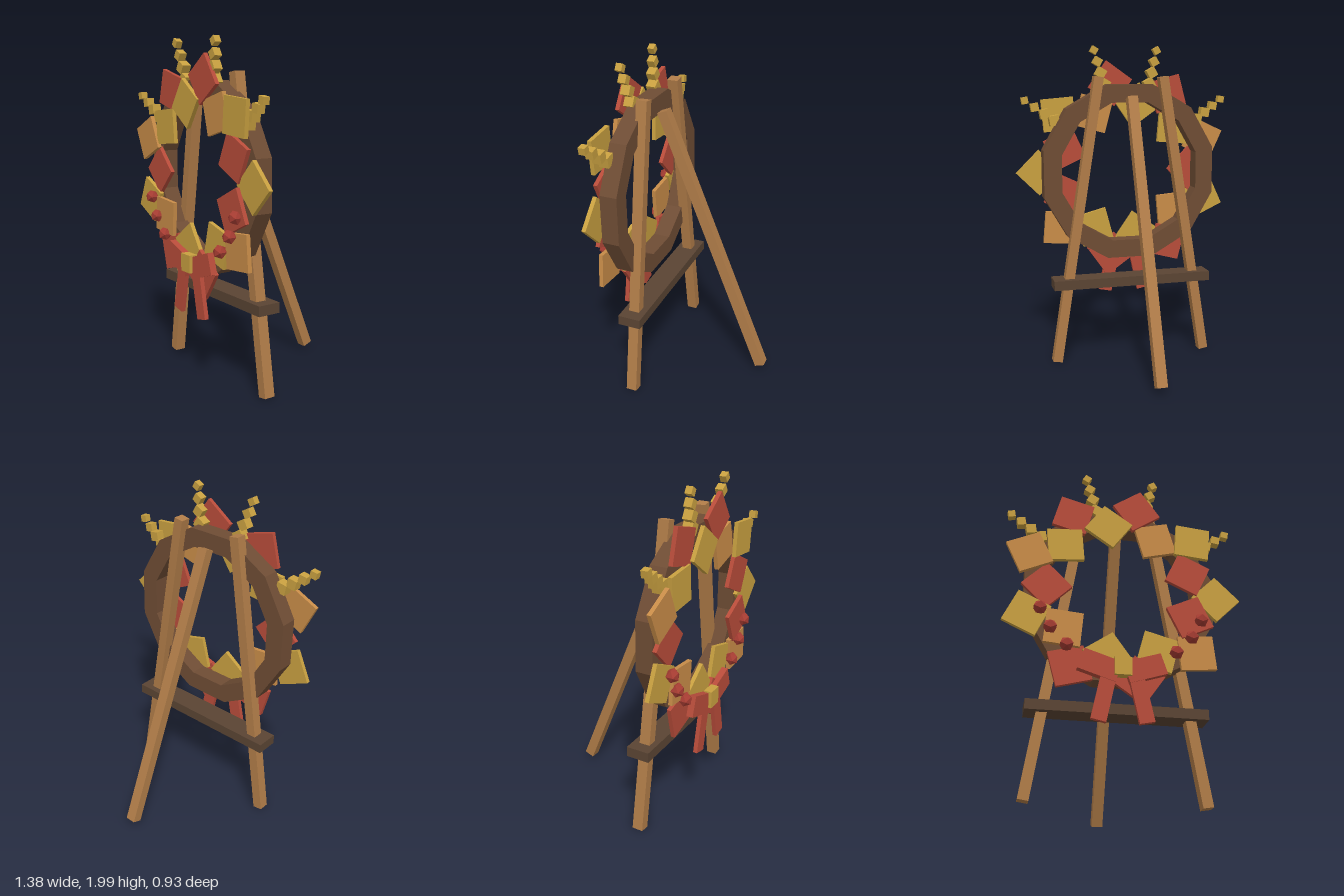
import * as THREE from 'three';

const flat = (name, color) => {
  const m = new THREE.MeshStandardMaterial({ color });
  m.name = name;
  return m;
};
const CX = -0.02, CY = 1.21; // wreath centre
const rad = THREE.MathUtils.degToRad;

export function createModel() {
  const model = new THREE.Group();
  model.name = 'wreathOnEasel';
  const wood = flat('easelWood', 0xb07c48);
  const bark = flat('ringBrown', 0x6e4c34);
  const dark = flat('darkWood', 0x5a4433);
  const gold = flat('gold', 0xc8a040);
  const orange = flat('orange', 0xc88c48);
  const red = flat('red', 0xb84c3a);
  const berryRed = flat('berryRed', 0xa63c32);
  berryRed.flatShading = true;

  const add = (name, geo, mat, x, y, z, rotZ = 0, rotX = 0) => {
    const m = new THREE.Mesh(geo, mat);
    m.name = name;
    m.position.set(x, y, z);
    m.rotation.set(rad(rotX), 0, rad(rotZ));
    model.add(m);
    return m;
  };
  const box = (name, mat, w, h, d, ...place) => add(name, new THREE.BoxGeometry(w, h, d), mat, ...place);
  const polar = (deg, r) => [CX + r * Math.cos(rad(deg)), CY + r * Math.sin(rad(deg))];

  // Easel
  for (const s of [-1, 1]) box('frontLeg', wood, 0.06, 1.82, 0.065, CX + s * 0.349, 0.908, 0.244, s * 9);
  box('backLeg', wood, 0.064, 1.76, 0.062, CX, 0.862, -0.107, 0, 21.8);
  box('crossbar', dark, 1.02, 0.06, 0.14, CX, 0.52, 0.242);

  // Twelve-sided wreath ring
  const corners = (r) => Array.from({ length: 12 }, (_, i) =>
    new THREE.Vector2(r * Math.cos(rad(15 + i * 30)), r * Math.sin(rad(15 + i * 30))));
  const ringShape = new THREE.Shape(corners(0.569));
  ringShape.holes.push(new THREE.Path(corners(0.452).reverse()));
  const ringGeo = new THREE.ExtrudeGeometry(ringShape, { depth: 0.104, bevelEnabled: false });
  add('wreathRing', ringGeo, bark, CX, CY, 0.258);

  // Square leaves on two alternating radii
  const leafColors = 'grgorgrgorgorgrgor';
  const palette = { g: gold, r: red, o: orange };
  [...leafColors].forEach((c, i) => {
    const [x, y] = polar(i * 20, i % 2 ? 0.423 : 0.563);
    box('leaf', palette[c], 0.205, 0.205, 0.025, x, y, 0.382 + 0.012 * (i % 3), 45 + i * 20);
  });

  // Berries
  const berryGeo = new THREE.IcosahedronGeometry(0.042, 0);
  for (const a of [200, 215, 231, 309, 325, 340]) add('berry', berryGeo, berryRed, ...polar(a, 0.487), 0.43);

  // Grain ears made of shrinking cubes
  for (const a of [35, 75, 105, 145]) {
    [[0.57, 0.063], [0.642, 0.058], [0.714, 0.05], [0.786, 0.042]].forEach(([r, s], k) =>
      box('grain', gold, s, s, s * 0.95, ...polar(a, r), 0.354 + k * 0.009, a + 45));
  }

  // Bow
  for (const s of [-1, 1]) {
    box('bowLoop', red, 0.22, 0.125, 0.04, CX + s * 0.125, 0.715, 0.43, s * 18);
    box('bowTail', red, 0.085, 0.27, 0.026, CX + s * 0.103, 0.534, 0.434, s * 12);
  }
  box('bowKnot', gold, 0.095, 0.105, 0.05, CX, 0.712, 0.444);
  return model;
}
